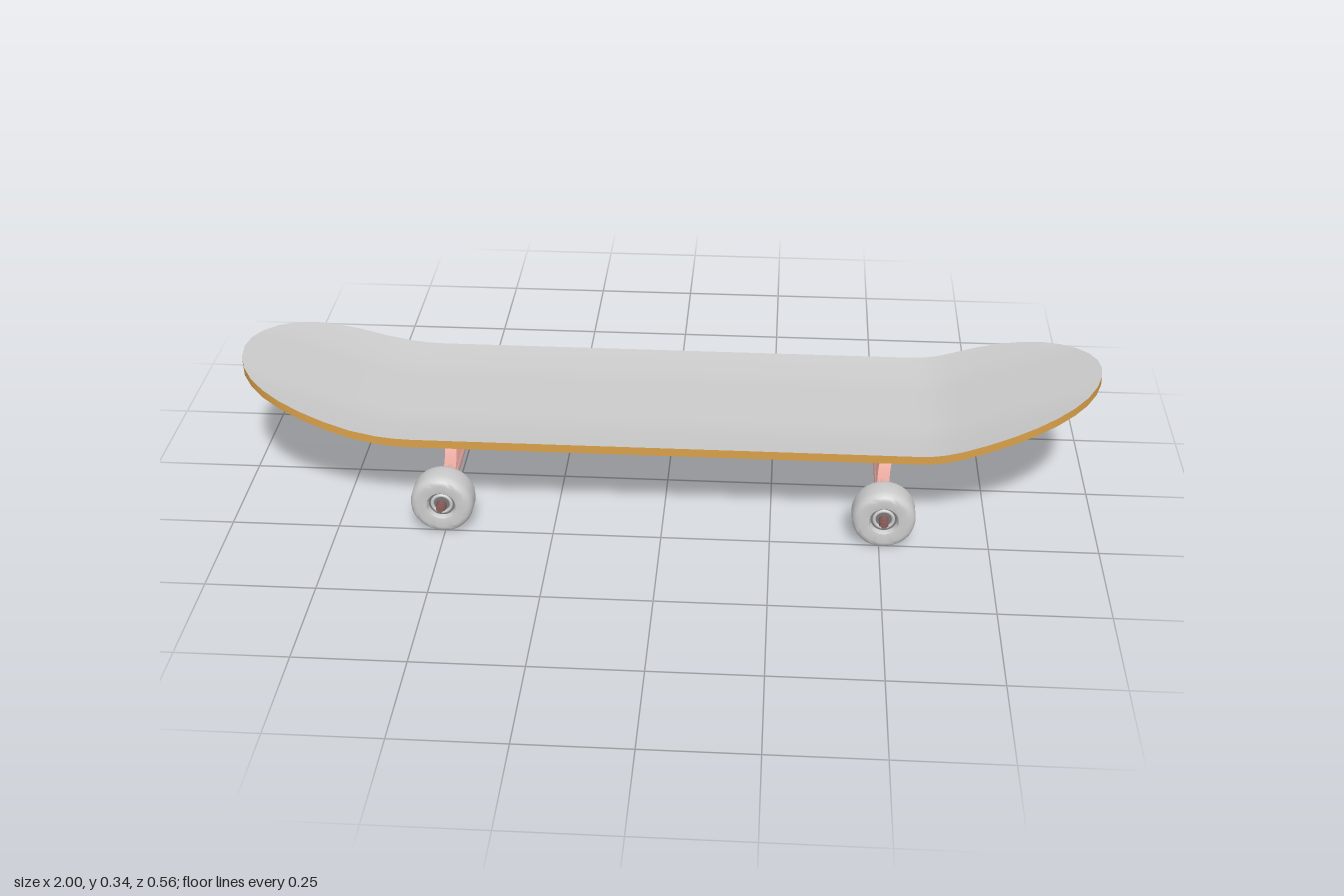
import * as THREE from 'three';
import { toCreasedNormals } from 'three/addons/utils/BufferGeometryUtils.js';

const mat = (color) => new THREE.MeshStandardMaterial({ color });
const GREY = mat(0xcccccc), WOOD = mat(0xd9a04a), BLUE = mat(0x7b96c8), PINK = mat(0xe8a9a0);
const GREEN = mat(0x4fa58a), MAUVE = mat(0xc49ac4), BROWN = mat(0x8a5f5c), DARK = mat(0x777777);
const HALF_WIDTH = 0.232, THICK = 0.02, FLOOR = 0.198;

function add(parent, name, geometry, material, x = 0, y = 0, z = 0) {
  const mesh = new THREE.Mesh(geometry, material);
  mesh.name = name;
  mesh.position.set(x, y, z);
  parent.add(mesh);
  return mesh;
}

// Rod of given radii between two points
function rod(parent, name, a, b, r0, r1, material, sides = 20) {
  const from = new THREE.Vector3(...a), to = new THREE.Vector3(...b);
  const dir = to.clone().sub(from);
  const mesh = add(parent, name, new THREE.CylinderGeometry(r1, r0, dir.length(), sides), material);
  mesh.position.copy(from).add(to).multiplyScalar(0.5);
  mesh.quaternion.setFromUnitVectors(new THREE.Vector3(0, 1, 0), dir.normalize());
  return mesh;
}

// Surface from a grid of points
function sheet(point, rows, cols, flip) {
  const pos = [], index = [];
  for (let i = 0; i <= rows; i++) for (let j = 0; j <= cols; j++) pos.push(...point(i, j));
  for (let i = 0; i < rows; i++) for (let j = 0; j < cols; j++) {
    const a = i * (cols + 1) + j, b = a + 1, c = a + cols + 1, d = c + 1;
    index.push(...(flip ? [a, c, b, b, c, d] : [a, b, c, b, d, c]));
  }
  const g = new THREE.BufferGeometry();
  g.setAttribute('position', new THREE.Float32BufferAttribute(pos, 3));
  g.setIndex(index);
  g.computeVertexNormals();
  return g;
}

// Upward kick of the nose and tail
function kick(x) {
  const [start, blend, slope] = x > 0 ? [0.58, 0.1, 0.343] : [0.57, 0.18, 0.338];
  const d = Math.abs(x) - start;
  if (d <= 0) return 0;
  return d < blend ? slope * d * d / (2 * blend) : slope * (d - blend / 2);
}

// Concave rise toward the long edges
function concave(z) {
  const k = Math.max(0, (Math.abs(z) - 0.1) / (HALF_WIDTH - 0.1));
  return 0.012 * Math.pow(k, 1.4);
}

function makeDeck() {
  const deck = new THREE.Group();
  deck.name = 'deck';
  // Stations along the board: x and half width
  const stations = [];
  const steps = 9;
  for (let k = steps; k >= 0; k--) {
    const t = Math.sin(k / steps * Math.PI / 2);
    stations.push([-0.65 - 0.35 * t, HALF_WIDTH * Math.sqrt(Math.max(0, 1 - Math.pow(t, 2.8)))]);
  }
  for (const x of [-0.61, -0.57, -0.3, 0, 0.3, 0.58, 0.61, 0.64]) stations.push([x, HALF_WIDTH]);
  for (let k = 0; k <= steps; k++) {
    const t = Math.sin(k / steps * Math.PI / 2);
    stations.push([0.68 + 0.32 * t, HALF_WIDTH * Math.sqrt(Math.max(0, 1 - Math.pow(t, 2.1)))]);
  }
  const rows = stations.length - 1, cols = 20;
  const point = (i, u, lift) => {
    const [x, w] = stations[i];
    return [x, FLOOR + kick(x) + concave(w * u) + lift, w * u];
  };
  add(deck, 'gripSurface', sheet((i, j) => point(i, j / 10 - 1, THICK), rows, cols, false), GREY);
  add(deck, 'underside', sheet((i, j) => point(i, j / 10 - 1, 0), rows, cols, true), GREY);
  for (const side of [1, -1]) {
    add(deck, 'woodEdge', sheet((i, j) => point(i, side, j * THICK), rows, 1, side > 0), WOOD);
  }
  return deck;
}

// Wheel with its axis on z, outer face toward +z
function makeWheel() {
  const wheel = new THREE.Group();
  wheel.name = 'wheel';
  const profile = [
    [0.03, -0.026], [0.034, -0.034], [0.056, -0.0375], [0.064, -0.035], [0.07, -0.028], [0.0725, -0.018],
    [0.0725, 0.018], [0.07, 0.028], [0.064, 0.035], [0.056, 0.0375], [0.034, 0.034], [0.03, 0.026],
    [0.03, -0.026],
  ].map(([r, h]) => new THREE.Vector2(r, h));
  const tire = new THREE.LatheGeometry(profile, 32).rotateX(Math.PI / 2);
  add(wheel, 'tire', toCreasedNormals(tire, 0.6), GREY);
  const disc = (r, h, sides = 24) => new THREE.CylinderGeometry(r, r, h, sides).rotateX(Math.PI / 2);
  add(wheel, 'bearing', disc(0.0305, 0.044), DARK);
  add(wheel, 'bearingRing', new THREE.TorusGeometry(0.022, 0.004, 8, 24), GREY, 0, 0, 0.023);
  add(wheel, 'axleNut', disc(0.012, 0.02, 6), BROWN, 0, 0, 0.033);
  add(wheel, 'axleTip', disc(0.008, 0.024, 12), BROWN, 0, 0, 0.038);
  return wheel;
}

// Truck centred on its axle, kingpin toward -x
function makeTruck() {
  const truck = new THREE.Group();
  truck.name = 'truck';
  const axleY = 0.0735;

  // Baseplate with a tapered housing
  add(truck, 'baseplate', new THREE.BoxGeometry(0.16, 0.012, 0.112), BLUE, -0.015, 0.194, 0);
  const housing = new THREE.BoxGeometry(0.14, 0.045, 0.076);
  const hp = housing.attributes.position;
  for (let i = 0; i < hp.count; i++) {
    if (hp.getY(i) < 0) {
      hp.setX(i, hp.getX(i) * 0.68 + 0.008);
      hp.setZ(i, hp.getZ(i) * 0.62);
    }
  }
  housing.computeVertexNormals();
  add(truck, 'baseplateHousing', housing, BLUE, -0.012, 0.169, 0);

  // Mounting bolts and nuts
  for (const x of [-0.08, 0.05]) for (const z of [-0.047, 0.047]) {
    add(truck, 'mountingBolt', new THREE.CylinderGeometry(0.004, 0.004, 0.024, 10), GREEN, x, 0.188, z);
    add(truck, 'mountingNut', new THREE.CylinderGeometry(0.007, 0.007, 0.008, 6), GREEN, x, 0.184, z);
  }

  // Hanger: concave wings above the axle, leaning toward the pivot
  const shape = new THREE.Shape();
  shape.moveTo(-0.13, 0.086);
  shape.lineTo(-0.13, 0.089);
  shape.bezierCurveTo(-0.06, 0.098, -0.04, 0.112, -0.012, 0.157);
  shape.lineTo(0.012, 0.157);
  shape.bezierCurveTo(0.04, 0.112, 0.06, 0.098, 0.13, 0.089);
  shape.lineTo(0.13, 0.086);
  const wings = new THREE.ExtrudeGeometry(shape, { depth: 0.028, bevelEnabled: false, curveSegments: 10 });
  wings.translate(0, 0, -0.014).rotateY(Math.PI / 2);
  const wp = wings.attributes.position;
  for (let i = 0; i < wp.count; i++) wp.setX(i, wp.getX(i) + (wp.getY(i) - 0.086) * 0.4);
  wings.computeVertexNormals();
  add(truck, 'hangerWings', toCreasedNormals(wings, 0.5), PINK);
  rod(truck, 'axleBeam', [0, axleY + 0.001, -0.195], [0, axleY + 0.001, 0.195], 0.018, 0.018, PINK, 24);
  rod(truck, 'pivot', [0.0, 0.085, 0], [0.043, 0.163, 0], 0.017, 0.01, PINK);

  // Kingpin with bushings and the hanger ring
  const along = (s) => [-0.028 - 0.035 * s, 0.165 - 0.075 * s, 0];
  rod(truck, 'upperBushing', along(0), along(0.33), 0.019, 0.021, MAUVE);
  rod(truck, 'hangerRing', along(0.33), along(0.52), 0.025, 0.025, PINK);
  rod(truck, 'hangerNeck', [-0.045, 0.132, 0], [0, 0.082, 0], 0.016, 0.018, PINK);
  rod(truck, 'lowerBushing', along(0.52), along(0.78), 0.02, 0.016, MAUVE);
  rod(truck, 'kingpin', along(0), along(1), 0.006, 0.006, BROWN, 12);
  rod(truck, 'kingpinNut', along(0.8), along(0.93), 0.011, 0.011, BROWN, 6);

  // Wheels, outer faces outward
  rod(truck, 'axle', [0, axleY, -0.274], [0, axleY, 0.274], 0.008, 0.008, BROWN, 12);
  for (const side of [1, -1]) {
    const wheel = makeWheel();
    wheel.position.set(0, axleY - 0.001, side * 0.2275);
    if (side < 0) wheel.rotation.y = Math.PI;
    truck.add(wheel);
  }
  return truck;
}

export function createModel() {
  const board = new THREE.Group();
  board.name = 'skateboard';
  board.add(makeDeck());
  const frontTruck = makeTruck();
  frontTruck.position.x = 0.508;
  const rearTruck = makeTruck();
  rearTruck.position.x = -0.505;
  rearTruck.rotation.y = Math.PI;
  board.add(frontTruck, rearTruck);
  return board;
}
